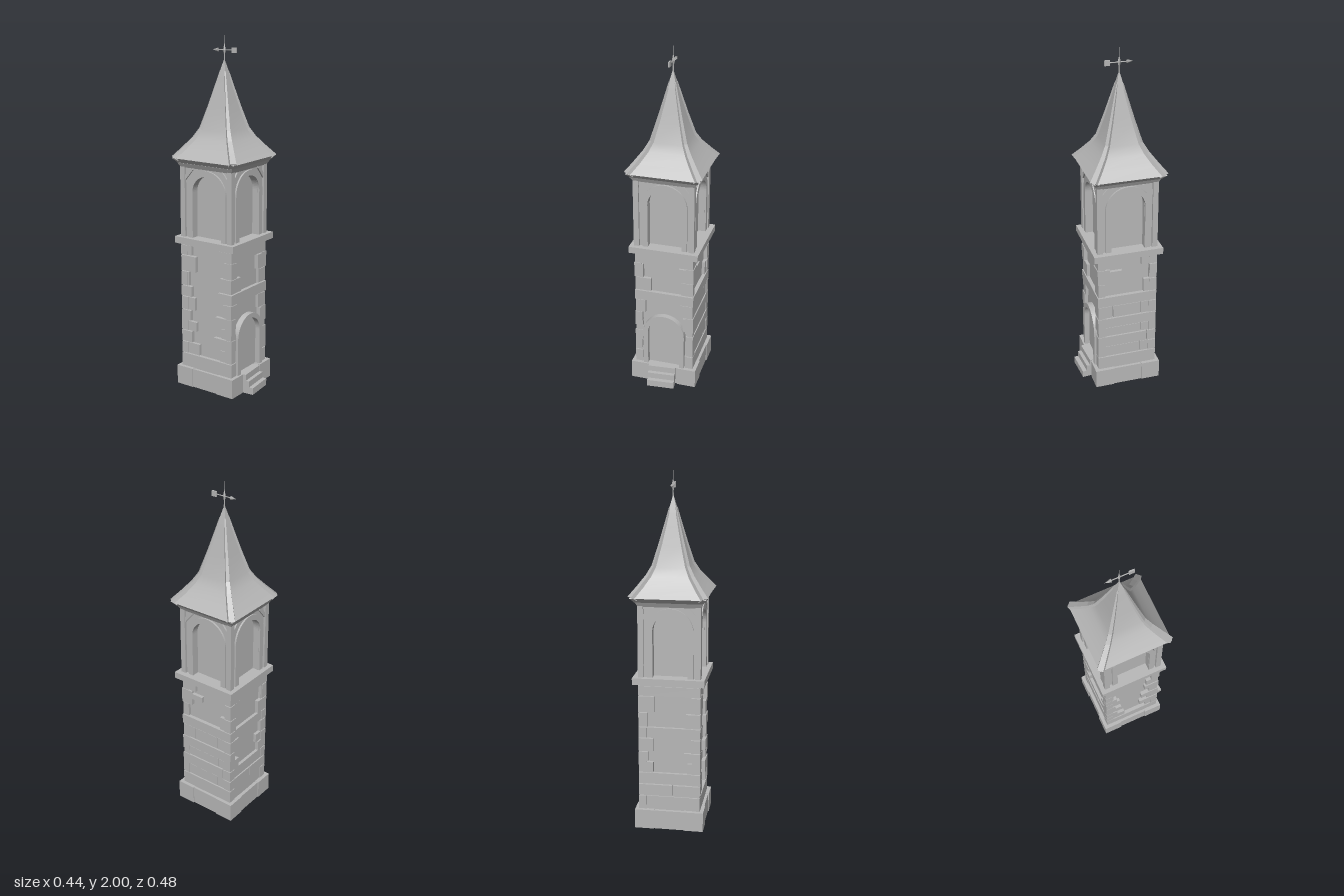
import * as THREE from 'three';

export function createModel() {
  const model = new THREE.Group();
  model.name = 'bellTower';
  const stone = new THREE.MeshStandardMaterial({ color: 0xb8b8b8 });
  stone.name = 'grey stone';

  // everything square is built around the tower axis
  const tower = new THREE.Group();
  tower.name = 'tower';
  tower.position.z = -0.023;
  model.add(tower);

  const add = (parent, name, geo, x = 0, y = 0, z = 0) => {
    const mesh = new THREE.Mesh(geo, stone);
    mesh.name = name;
    mesh.position.set(x, y, z);
    parent.add(mesh);
    return mesh;
  };
  // box given by its limits
  const block = (parent, name, x0, x1, y0, y1, z0, z1) => add(parent, name,
    new THREE.BoxGeometry(x1 - x0, y1 - y0, z1 - z0), (x0 + x1) / 2, (y0 + y1) / 2, (z0 + z1) / 2);

  // round-topped outline, used for openings and the door
  const archPath = (p, r, y0, spring) => {
    p.moveTo(-r, y0);
    p.lineTo(r, y0);
    p.lineTo(r, spring);
    p.absarc(0, spring, r, 0, Math.PI, false);
    p.lineTo(-r, y0);
    return p;
  };
  const extrude = (shape, depth) => new THREE.ExtrudeGeometry(shape, { depth, bevelEnabled: false, curveSegments: 16 });
  const archTrim = (outer, inner, y0, spring, depth) => {
    const s = new THREE.Shape();
    s.moveTo(outer, y0);
    s.lineTo(outer, spring);
    s.absarc(0, spring, outer, 0, Math.PI, false);
    s.lineTo(-outer, y0);
    s.lineTo(-inner, y0);
    s.lineTo(-inner, spring);
    s.absarc(0, spring, inner, Math.PI, 0, true);
    s.lineTo(inner, y0);
    return extrude(s, depth);
  };

  // recessed inner walls of shaft and belfry
  block(tower, 'shaftCore', -0.152, 0.152, 0.1, 0.86, -0.152, 0.152);
  block(tower, 'belfryCore', -0.125, 0.125, 0.88, 1.3, -0.125, 0.125);

  // courses: bottom, top, left block end, right block start; two zeros make a full course
  const frontFace = [
    [0.11, 0.19, -0.12, 0.12], [0.195, 0.28, -0.13, 0.13], [0.285, 0.36, -0.12, 0.14], [0.365, 0.45, -0.13, 0.11],
    [0.455, 0.535, -0.11, 0.095], [0.54, 0.6, 0, 0],
    [0.605, 0.685, -0.075, 0.1], [0.69, 0.775, -0.12, 0.085], [0.78, 0.84, 0, 0]];
  const leftFace = [
    [0.11, 0.19, 0, 0], [0.195, 0.26, 0.08, 0.08], [0.265, 0.33, 0.12, 0.12], [0.335, 0.39, 0.085, 0.085],
    [0.395, 0.455, 0, 0], [0.46, 0.535, -0.085, 0.08], [0.54, 0.6, 0, 0],
    [0.605, 0.685, -0.13, 0.095], [0.69, 0.78, -0.1, 0.13], [0.785, 0.84, -0.075, 0.08]];
  const backFace = [
    [0.11, 0.19, 0, 0], [0.195, 0.26, 0.02, 0.02], [0.265, 0.33, 0, 0], [0.335, 0.395, -0.09, 0.1],
    [0.4, 0.455, -0.12, 0.08], [0.46, 0.535, -0.09, 0.12], [0.54, 0.6, 0, 0],
    [0.605, 0.685, -0.12, 0.09], [0.69, 0.78, -0.08, 0.12], [0.785, 0.84, 0, 0]];
  const rightFace = [
    [0.11, 0.19, 0, 0], [0.195, 0.26, -0.05, 0.09], [0.265, 0.33, -0.1, 0.05], [0.335, 0.39, -0.07, 0.1],
    [0.395, 0.455, -0.11, 0.06], [0.46, 0.535, -0.08, 0.11], [0.54, 0.6, -0.1, 0.08],
    [0.605, 0.685, -0.12, 0.09], [0.69, 0.78, -0.07, 0.12], [0.785, 0.84, -0.1, 0.08]];
  const faces = { front: frontFace, left: leftFace, back: backFace, right: rightFace };

  Object.entries(faces).forEach(([name, rows], i) => {
    const side = new THREE.Group();
    side.name = name + 'Side';
    side.rotation.y = i * Math.PI / 2;
    tower.add(side);

    // stone courses and corner stones with slightly uneven faces
    rows.forEach(([y0, y1, a, b], k) => {
      const out = 0.17 + 0.004 * ((k * 3 + i) % 2);
      if (a === 0 && b === 0) block(side, 'course', -out, out, y0, y1, 0.13, out);
      else {
        block(side, 'cornerStone', -out, a - 0.002, y0, y1, 0.13, out);
        block(side, 'cornerStone', b + 0.002, out, y0, y1, 0.13, out);
      }
    });
    if (name === 'left') {
      block(side, 'wallStone', -0.083, 0.078, 0.46, 0.535, 0.13, 0.17);
      block(side, 'wallStone', -0.105, -0.03, 0.73, 0.765, 0.13, 0.172);
    }

    // belfry wall with its arched opening, trim and corner posts
    const wall = new THREE.Shape();
    wall.moveTo(-0.16, 0.88);
    wall.lineTo(0.16, 0.88);
    wall.lineTo(0.16, 1.31);
    wall.lineTo(-0.16, 1.31);
    wall.closePath();
    wall.holes.push(archPath(new THREE.Path(), 0.1, 0.885, 1.15));
    add(side, 'belfryWall', extrude(wall, 0.045), 0, 0, 0.115);
    add(side, 'belfryArch', archTrim(0.128, 0.097, 0.885, 1.15, 0.045), 0.004, 0, 0.125);
    block(side, 'cornerPost', 0.143, 0.174, 0.885, 1.29, 0.143, 0.174);
    for (const s of [-1, 1]) {
      const brace = block(side, 'brace', -0.01, 0.01, -0.045, 0.045, -0.005, 0.005);
      brace.position.set(s * 0.125, 1.25, 0.164);
      brace.rotation.z = s * 0.7;
    }

    // base stones, leaving the underside hollow
    block(side, 'baseCorner', 0.085, 0.195, 0, 0.112, 0.085, 0.195);
    block(side, 'baseStone', -0.085, 0.085, 0, 0.11, 0.098, 0.19);
  });

  // door surround and panel
  add(tower, 'doorArch', archTrim(0.123, 0.095, 0.11, 0.327, 0.045), 0, 0, 0.14);
  add(tower, 'doorPanel', extrude(archPath(new THREE.Shape(), 0.096, 0.11, 0.327), 0.006), 0, 0, 0.149);

  // entrance steps, slightly skewed
  const steps = new THREE.Group();
  steps.name = 'steps';
  steps.rotation.y = 0.08;
  model.add(steps);
  [[0.04, 0.228], [0.076, 0.203], [0.112, 0.182]].forEach(([h, z]) =>
    block(steps, 'step', -0.1, 0.06, 0, h, 0.1, z));

  // ledge and cornice
  block(tower, 'ledge', -0.197, 0.203, 0.852, 0.89, -0.199, 0.199);
  block(tower, 'upperBand', -0.168, 0.168, 0.838, 0.856, -0.168, 0.168);
  const frustum = (top, bottom, h) => {
    const g = new THREE.CylinderGeometry(top * Math.SQRT2, bottom * Math.SQRT2, h, 4, 1).toNonIndexed();
    g.rotateY(Math.PI / 4);
    g.computeVertexNormals();
    return g;
  };
  add(tower, 'corniceLower', frustum(0.185, 0.172, 0.025), 0, 1.298, 0);
  add(tower, 'corniceUpper', frustum(0.207, 0.185, 0.025), 0.003, 1.323, 0);

  // flared roof: half width and height from eave to tip
  const roof = new THREE.Group();
  roof.name = 'roof';
  roof.position.x = 0.004;
  tower.add(roof);
  const profile = [[0.208, 1.335], [0.165, 1.385], [0.124, 1.44], [0.097, 1.49], [0.064, 1.61], [0.039, 1.71], [0.017, 1.8]];
  const n = profile.length - 1;
  for (let i = 0; i < 4; i++) {
    const g = new THREE.PlaneGeometry(2, 1, 1, n);
    const p = g.attributes.position;
    for (let v = 0; v < p.count; v++) {
      const [w, y] = profile[n - Math.floor(v / 2)];
      p.setXYZ(v, p.getX(v) * w, y, w);
    }
    g.computeVertexNormals();
    add(roof, 'roofSide', g).rotation.y = i * Math.PI / 2;

    // hip ridge following the same profile, wide at the eave
    const verts = [], idx = [];
    profile.forEach(([w, y], k) => {
      const r = w * Math.SQRT2 - (k ? 0 : 0.004);
      const half = 0.02 * (1 - k / n) + 0.004;
      verts.push(-half, y - 0.012, r - half - 0.004, -half * 0.7, y + 0.009, r + 0.001,
        half * 0.7, y + 0.009, r + 0.001, half, y - 0.012, r - half - 0.004);
      if (k < n) for (let j = 0; j < 4; j++) {
        const a = k * 4 + j, b = k * 4 + (j + 1) % 4;
        idx.push(a, b, b + 4, a, b + 4, a + 4);
      }
    });
    idx.push(0, 3, 2, 0, 2, 1);
    const strip = new THREE.BufferGeometry();
    strip.setAttribute('position', new THREE.Float32BufferAttribute(verts, 3));
    strip.setIndex(idx);
    const ridge = strip.toNonIndexed();
    ridge.computeVertexNormals();
    add(roof, 'hipRidge', ridge).rotation.y = Math.PI / 4 + i * Math.PI / 2;
  }
  add(roof, 'roofCap', frustum(0.002, 0.025, 0.09), 0, 1.822, 0);

  // weather vane pointing backwards
  const vane = new THREE.Group();
  vane.name = 'weatherVane';
  vane.position.set(0.005, 1.92, 0);
  tower.add(vane);
  add(vane, 'vaneRod', new THREE.CylinderGeometry(0.001, 0.004, 0.15, 6), 0, 0.005, 0);
  add(vane, 'vaneKnob', new THREE.OctahedronGeometry(0.012), 0, 0, 0).scale.set(0.75, 3.2, 0.75);
  add(vane, 'vaneArm', new THREE.CylinderGeometry(0.003, 0.003, 0.12, 6), 0, 0, 0).rotation.x = Math.PI / 2;
  add(vane, 'vaneHead', new THREE.ConeGeometry(0.011, 0.035, 4), 0, 0, -0.059).rotation.x = -Math.PI / 2;
  block(vane, 'vaneTail', -0.004, 0.004, -0.015, 0.015, 0.05, 0.08);

  return model;
}
